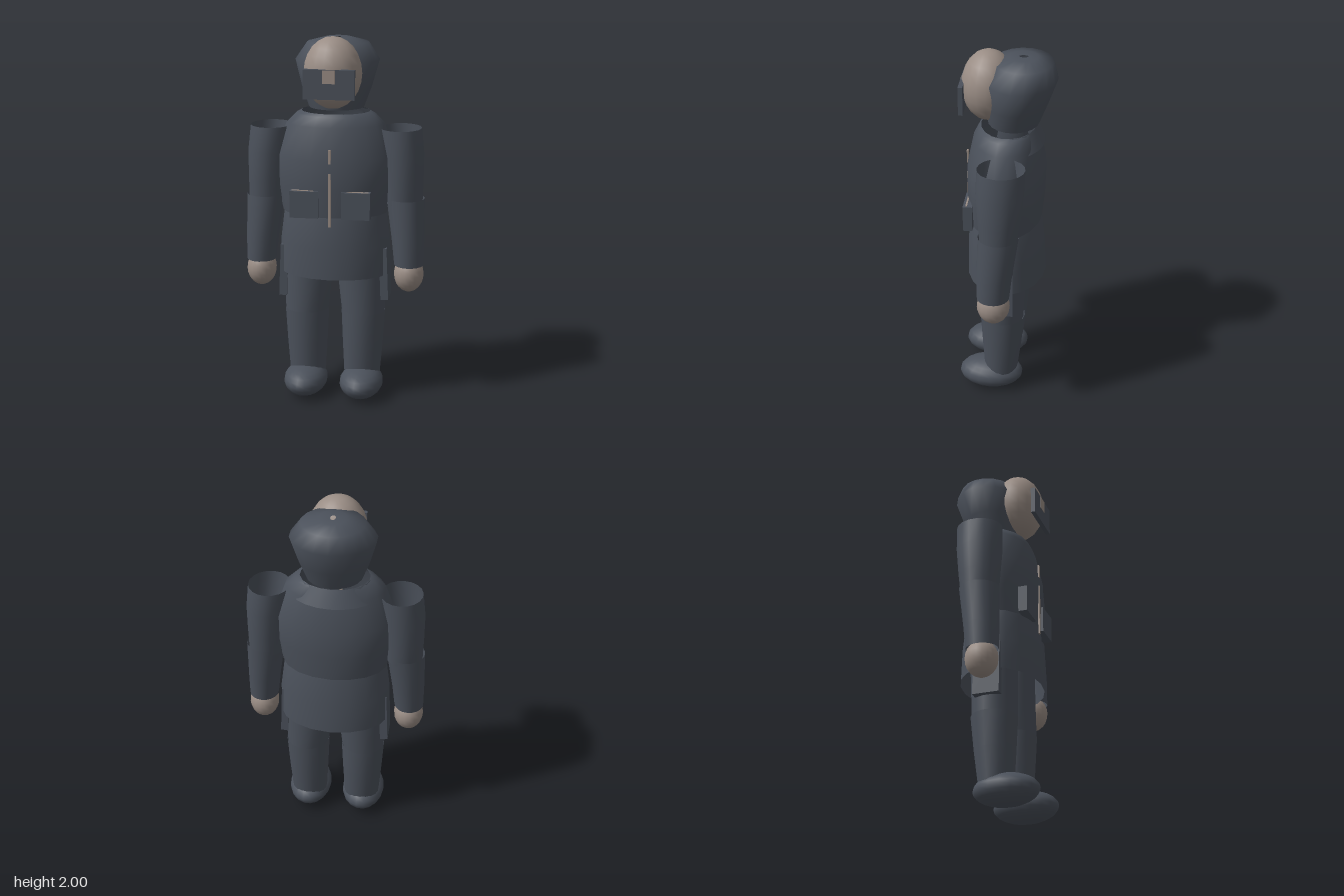
import * as THREE from 'three';

const cloth = new THREE.MeshStandardMaterial({ color: 0x4b515b, side: THREE.DoubleSide });
cloth.name = 'slate cloth';
const tan = new THREE.MeshStandardMaterial({ color: 0x9a8d85 });
tan.name = 'warm grey';

// Open tube through elliptical rings: [y, centreX, radiusX, centreZ, radiusZ]
function loft(rings, from = 0, sweep = Math.PI * 2, sides = 18) {
  const closed = sweep > 6.28;
  const cols = closed ? sides : sides + 1;
  const pos = [], index = [];
  for (const [y, cx, rx, cz, rz] of rings) {
    for (let i = 0; i < cols; i++) {
      const a = from + (i / sides) * sweep;
      pos.push(cx + rx * Math.sin(a), y, cz + rz * Math.cos(a));
    }
  }
  // rings run from bottom to top, corners anticlockwise from outside
  for (let r = 0; r < rings.length - 1; r++) {
    for (let i = 0; i < sides; i++) {
      const j = (i + 1) % cols;
      const a = r * cols + i, b = r * cols + j, c = a + cols, d = b + cols;
      index.push(a, b, d, a, d, c);
    }
  }
  const g = new THREE.BufferGeometry();
  g.setAttribute('position', new THREE.Float32BufferAttribute(pos, 3));
  g.setIndex(index);
  g.computeVertexNormals();
  return g;
}

export function createModel() {
  const model = new THREE.Group();
  model.name = 'hoodedFigure';

  const add = (name, geometry, material, parent = model) => {
    const mesh = new THREE.Mesh(geometry, material);
    mesh.name = name;
    parent.add(mesh);
    return mesh;
  };
  const ball = (name, material, x, y, z, rx, ry, rz, parent) => {
    const mesh = add(name, new THREE.SphereGeometry(1, 18, 12), material, parent);
    mesh.position.set(x, y, z);
    mesh.scale.set(rx, ry, rz);
    return mesh;
  };
  const box = (name, material, x, y, z, w, h, d, parent) => {
    const mesh = add(name, new THREE.BoxGeometry(w, h, d), material, parent);
    mesh.position.set(x, y, z);
    return mesh;
  };

  // Head, hood with a small opening at the crown, and visor
  ball('head', tan, 0, 1.81, 0.1, 0.155, 0.19, 0.143);
  add('hood', loft([
    [1.61, 0, 0.148, -0.03, 0.135],
    [1.72, 0, 0.188, -0.043, 0.165],
    [1.86, 0, 0.226, -0.065, 0.193],
    [1.95, 0, 0.165, -0.08, 0.155],
    [1.975, 0, 0.07, -0.08, 0.075],
    [1.975, 0, 0.014, -0.08, 0.024],
  ]), cloth);
  box('visor', cloth, 0, 1.768, 0.231, 0.27, 0.155, 0.024);
  box('visorBridge', tan, 0, 1.808, 0.243, 0.066, 0.07, 0.004);

  // Jacket
  add('jacketBody', loft([
    [1.05, 0, 0.285, 0.01, 0.195],
    [1.2, 0, 0.315, 0.008, 0.207],
    [1.36, 0, 0.325, 0.006, 0.21],
    [1.53, 0, 0.265, 0.005, 0.175],
    [1.58, 0, 0.215, 0, 0.155],
    [1.595, 0, 0.185, -0.005, 0.145],
  ]), cloth);
  add('jacketSkirt', loft([
    [0.71, 0, 0.302, 0.005, 0.215],
    [0.88, 0, 0.3, 0.008, 0.21],
    [1.04, 0, 0.28, 0.01, 0.196],
    [1.1, 0, 0.265, 0.01, 0.18],
  ]), cloth);
  add('backCollar', loft([
    [1.505, 0, 0.24, -0.01, 0.187],
    [1.595, 0, 0.188, -0.005, 0.147],
  ], Math.PI * 0.55, Math.PI * 0.9, 10), cloth);

  // Zip in two lengths
  box('zipLower', tan, 0, 1.15, 0.216, 0.014, 0.29, 0.009);
  box('zipUpper', tan, 0, 1.385, 0.216, 0.014, 0.075, 0.009);

  for (const s of [1, -1]) {
    const side = s > 0 ? 'left' : 'right';
    const limb = (rings) => loft(rings.map(([y, x, ...rest]) => [y, s * x, ...rest]));

    // Chest pocket with trim
    box(side + 'Pocket', cloth, s * 0.138, 1.122, 0.193, 0.153, 0.145, 0.05);
    box(side + 'PocketTrim', tan, s * 0.138, 1.195, 0.2, 0.135, 0.006, 0.009);

    // Sleeves and hand
    const arm = new THREE.Group();
    arm.name = side + 'Arm';
    model.add(arm);
    add('upperSleeve', limb([
      [1.1, 0.375, 0.098, 0.01, 0.1],
      [1.22, 0.373, 0.103, 0.007, 0.112],
      [1.37, 0.365, 0.112, 0.004, 0.124],
      [1.51, 0.35, 0.112, -0.002, 0.124],
    ]), cloth, arm);
    add('lowerSleeve', limb([
      [0.765, 0.407, 0.08, 0.037, 0.086],
      [0.9, 0.4, 0.088, 0.03, 0.094],
      [1.13, 0.382, 0.103, 0.01, 0.107],
    ]), cloth, arm);
    ball('hand', tan, s * 0.407, 0.712, 0.035, 0.081, 0.1, 0.088, arm);

    // Trousers and boot
    const leg = new THREE.Group();
    leg.name = side + 'Leg';
    model.add(leg);
    add('upperLeg', limb([
      [0.48, 0.157, 0.118, 0.017, 0.119],
      [0.7, 0.146, 0.132, 0.01, 0.123],
      [0.88, 0.146, 0.128, 0.008, 0.125],
    ]), cloth, leg);
    add('lowerLeg', limb([
      [0.1, 0.152, 0.098, 0.024, 0.09],
      [0.3, 0.155, 0.111, 0.018, 0.109],
      [0.49, 0.157, 0.121, 0.014, 0.124],
    ]), cloth, leg);
    ball('boot', cloth, s * 0.156, 0.088, 0.079, 0.12, 0.085, 0.178, leg);

    // Hip pouch hanging beneath the skirt
    box(side + 'HipPouch', cloth, s * 0.275, 0.715, 0.017, 0.042, 0.29, 0.145)
      .rotation.z = s * 0.04;
  }

  // Stand on the ground
  model.position.y = -0.003;
  return model;
}
